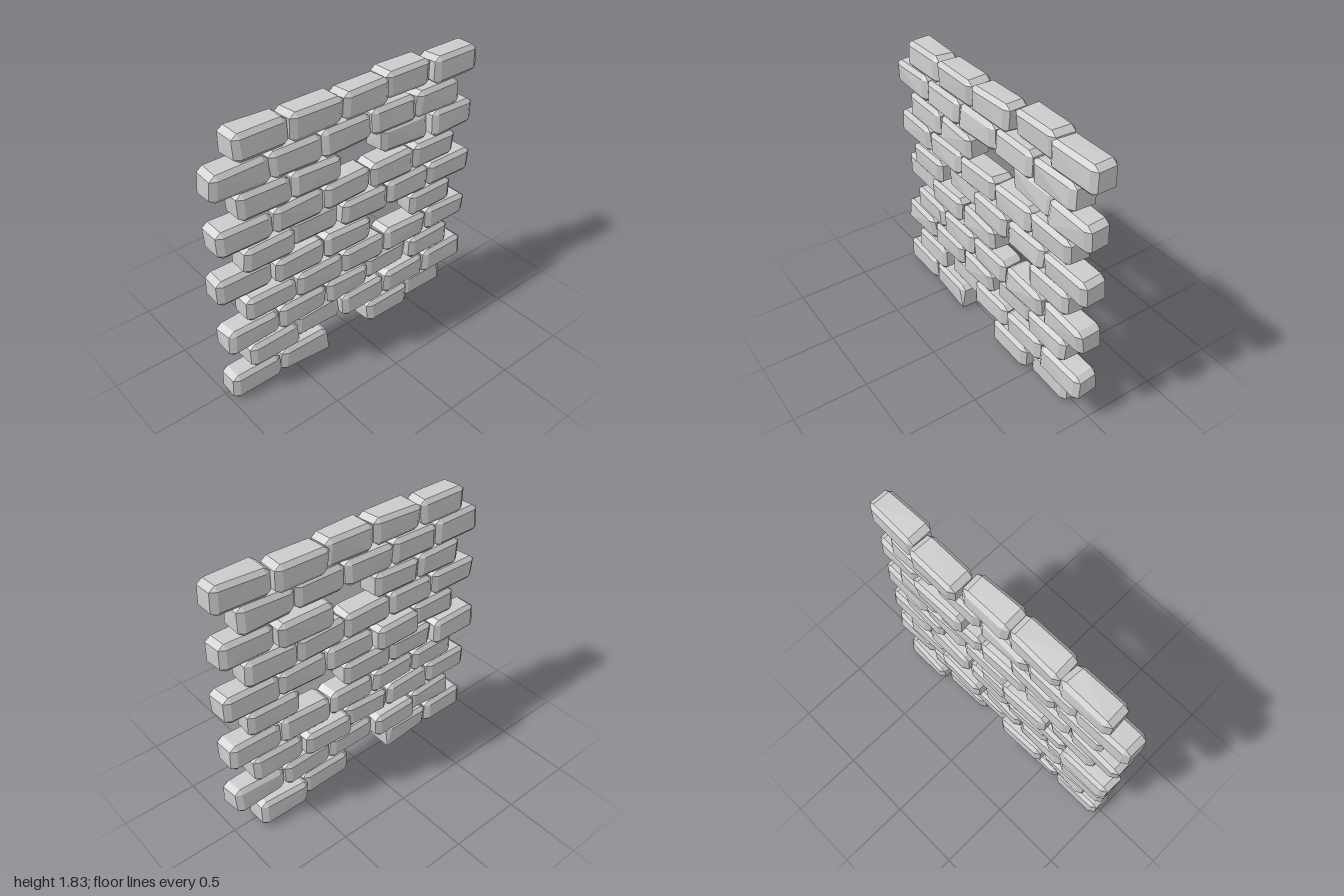
import * as THREE from 'three';
import { ConvexGeometry } from 'three/addons/geometries/ConvexGeometry.js';

// Small seeded generator for the hand-cut irregularity of the bricks
let seed = 7;
const rand = () => (seed = (seed * 16807) % 2147483647) / 2147483647;

// Courses from the ground up: joints along z, missing brick, brick set towards -x
const COURSES = [
  { z: [0.985, 0.62, 0.245, -0.105, -0.48, -0.845], gap: 2, back: 4 },
  { z: [0.84, 0.475, 0.11, -0.255, -0.62, -0.995], back: 1 },
  { z: [0.985, 0.615, 0.245, -0.105, -0.475, -0.85], back: 3 },
  { z: [0.845, 0.475, 0.115, -0.24, -0.62, -0.995] },
  { z: [1.0, 0.62, 0.255, -0.125, -0.475, -0.845], gap: 3, back: 0 },
  { z: [0.835, 0.47, 0.11, -0.26, -0.615, -1.0], back: 1 },
  { z: [0.99, 0.62, 0.25, -0.115, -0.475, -0.84] },
  { z: [0.845, 0.48, 0.12, -0.235, -0.625, -0.985], gap: 2, back: 3 },
  { z: [1.0, 0.62, 0.26, -0.115, -0.475, -0.85] },
  { z: [0.845, 0.48, 0.105, -0.255, -0.62, -0.995], back: 3 },
];
const PITCH = 0.1835, HEIGHT = 0.185, DEPTH = 0.19, BEVEL = [0.024, 0.028, 0.038];

// Chamfered block with slightly skewed corners; sharpEnd leaves its -z end uncut
function brickGeometry(length, sharpEnd) {
  const points = [];
  for (const sx of [-1, 1]) for (const sy of [-1, 1]) for (const sz of [-1, 1]) {
    const corner = [
      sx * (DEPTH / 2 - 0.016 * rand()),
      sy * (HEIGHT / 2 - 0.009 * rand()),
      sz * (length / 2 - 0.014 * rand()),
    ];
    const sharp = sharpEnd && sz < 0 && sy < 0;
    if (sharp) {
      points.push(new THREE.Vector3(...corner));
      continue;
    }
    const sign = [sx, sy, sz];
    // three points per corner, each lying on one of the faces that meet there
    for (let face = 0; face < 3; face++) {
      points.push(new THREE.Vector3(
        ...corner.map((c, i) => (i === face ? c : c - sign[i] * BEVEL[i]))));
    }
  }
  return new ConvexGeometry(points);
}

export function createModel() {
  const wall = new THREE.Group();
  wall.name = 'brickWall';
  const material = new THREE.MeshStandardMaterial({ color: 0xcccccc, flatShading: true });

  COURSES.forEach(({ z, gap, back }, row) => {
    const course = new THREE.Group();
    course.name = `course${row + 1}`;
    for (let i = 0; i < 5; i++) {
      if (i === gap) continue;
      const brick = new THREE.Mesh(
        brickGeometry(z[i] - z[i + 1] + 0.008, row === 0 && i === 1), material);
      brick.name = `brick${i + 1}`;
      const x = i === back ? -0.024 : 0.018 + 0.006 * (rand() - 0.5);
      brick.position.set(x, HEIGHT / 2 + row * PITCH, (z[i] + z[i + 1]) / 2);
      course.add(brick);
    }
    wall.add(course);
  });
  return wall;
}
